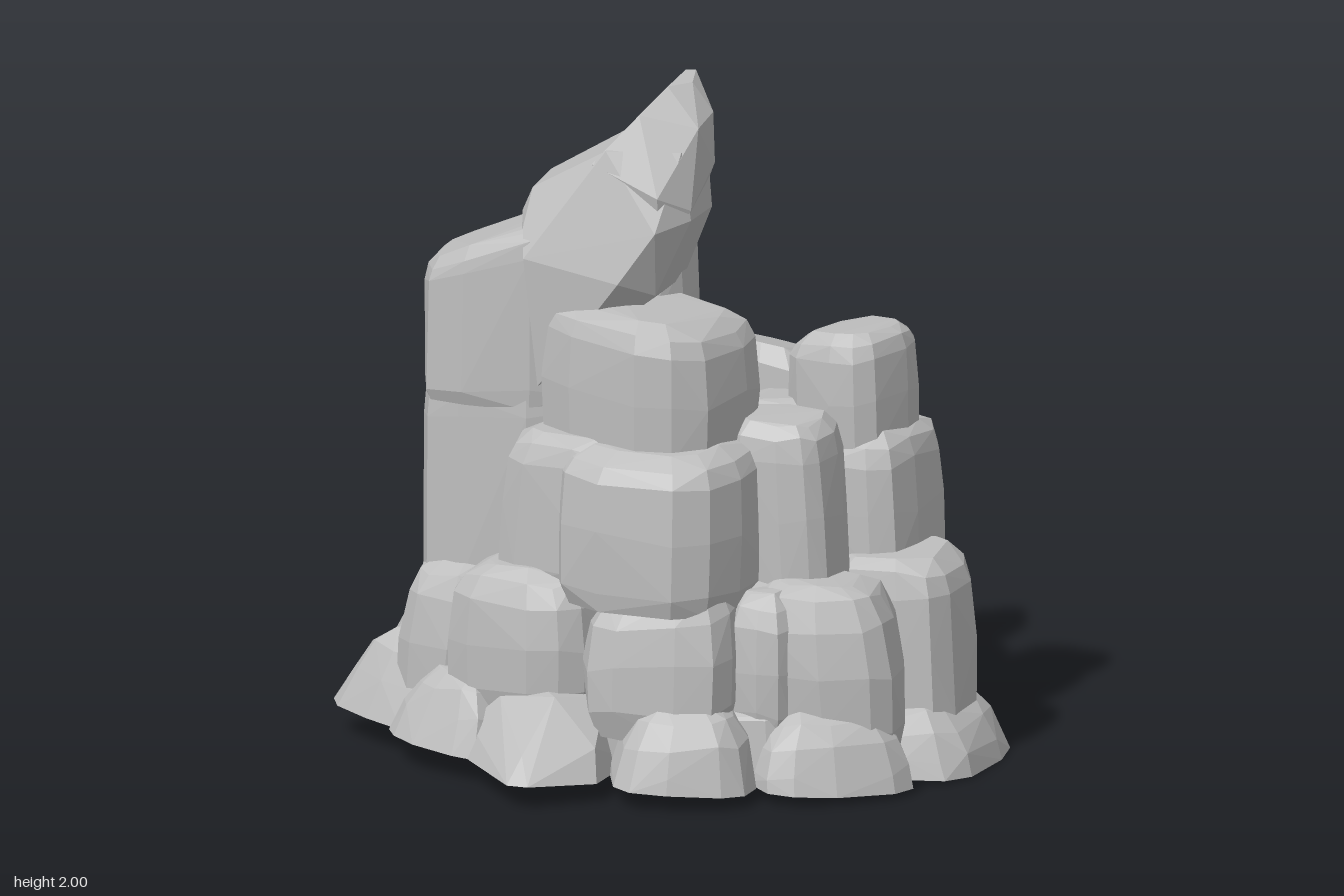
import * as THREE from 'three';
import { ConvexGeometry } from 'three/addons/geometries/ConvexGeometry.js';

const stone = new THREE.MeshStandardMaterial({ color: 0xbebebe });
stone.name = 'grey stone';

// Small seeded generator for the uneven facets
let seed = 11;
const random = () => {
  seed = (seed * 16807) % 2147483647;
  return seed / 2147483647;
};
const jitter = (amount) => (random() * 2 - 1) * amount;

// Ring profiles: [height fraction, width fraction]
const PROFILES = {
  slab: [[0, 0.96], [0.1, 1], [0.85, 0.99], [0.95, 0.95], [1, 0.86]],
  block: [[0, 0.94], [0.12, 1], [0.5, 1.01], [0.82, 0.98], [0.94, 0.9], [1, 0.7]],
  boulder: [[0, 0.86], [0.2, 0.98], [0.5, 1.01], [0.78, 0.94], [0.93, 0.78], [1, 0.52]],
  mound: [[0, 1.01], [0.3, 0.98], [0.62, 0.88], [0.87, 0.68], [1, 0.4]],
};

// The pile stands on a slightly sloping underside
const ground = (x, z) => Math.max(0, 0.042 - 0.042 * x + 0.022 * z);

// Faceted stone around a few [x, y, z] corners
function hull(group, name, corners) {
  const points = corners.map(([x, y, z]) => new THREE.Vector3(x, Math.max(y, ground(x, z)), z));
  const mesh = new THREE.Mesh(new ConvexGeometry(points), stone);
  mesh.name = name;
  group.add(mesh);
}

// One faceted rock filling the given ranges, turned by yaw degrees (+x towards +z);
// lean shifts its top, tilt slopes it
function rock(group, name, profile, [x0, x1], [y0, y1], [z0, z1], yaw = 0, lean = [0, 0], tilt = [0, 0]) {
  const sides = 12, corners = [], start = random();
  const c = Math.cos((yaw * Math.PI) / 180), s = Math.sin((yaw * Math.PI) / 180);
  const curve = (v) => Math.sign(v) * Math.abs(v) ** 0.64;
  const radii = Array.from({ length: sides }, () => 1 + jitter(0.035));
  for (const [t, w] of PROFILES[profile]) {
    for (let i = 0; i < sides; i++) {
      const a = ((i + start) / sides) * Math.PI * 2;
      const r = w * radii[i] * (1 + jitter(0.02));
      const u = curve(Math.cos(a)) * r, v = curve(Math.sin(a)) * r;
      const dx = (u * (x1 - x0)) / 2, dz = (v * (z1 - z0)) / 2;
      corners.push([
        (x0 + x1) / 2 + dx * c - dz * s + lean[0] * t,
        y0 + (y1 - y0) * t + (tilt[0] * u + tilt[1] * v) * t + (t > 0 ? jitter(0.012) : 0),
        (z0 + z1) / 2 + dx * s + dz * c + lean[1] * t]);
    }
  }
  hull(group, name, corners);
}

function makeTier(root, name) {
  const tier = new THREE.Group();
  tier.name = name;
  root.add(tier);
  return (...args) => rock(tier, ...args);
}

export function createModel() {
  seed = 11;
  const root = new THREE.Group();
  root.name = 'rockFormation';

  // Solid middle that the outer stones rest against
  const core = makeTier(root, 'core');
  core('baseCore', 'slab', [-0.74, 0.74], [0, 0.25], [-0.64, 0.54]);
  core('middleCore', 'block', [-0.54, 0.6], [0.1, 0.6], [-0.47, 0.44]);
  core('upperCore', 'block', [-0.25, 0.45], [0.4, 0.98], [-0.35, 0.3]);

  // Low stones around the foot
  const foot = makeTier(root, 'footStones');
  foot('frontFoot', 'mound', [0.02, 0.43], [0, 0.28], [0.36, 0.72], -18, [0, -0.02]);
  foot('frontLeftFoot', 'mound', [0.35, 0.82], [0, 0.25], [0.13, 0.5], -40, [-0.02, -0.02]);
  foot('leftFoot', 'mound', [0.5, 0.95], [0, 0.21], [-0.36, 0.19], 0, [-0.04, 0]);
  foot('leftBackFoot', 'mound', [0.42, 0.78], [0, 0.28], [-0.44, -0.1]);
  foot('frontRightFoot', 'mound', [-0.71, -0.3], [0, 0.28], [0.34, 0.6], 28, [0.02, -0.03]);
  foot('rightFrontFoot', 'mound', [-0.96, -0.5], [0, 0.32], [0.07, 0.4], 32, [0.04, -0.02]);
  foot('rightFoot', 'mound', [-0.96, -0.62], [0, 0.34], [-0.27, 0.07], -10, [0.05, 0]);
  foot('rightBackFoot', 'mound', [-0.84, -0.34], [0, 0.36], [-0.56, -0.2], -38, [0.04, 0.03]);
  foot('backFoot', 'mound', [-0.22, 0.13], [0, 0.18], [-0.86, -0.5]);

  // Pointed stone at the front
  const pointed = new THREE.Group();
  pointed.name = 'pointedFootStone';
  root.add(pointed);
  hull(pointed, 'frontFootPoint', [
    [-0.45, 0, 0.57], [-0.4, 0, 0.64], [-0.2, 0, 0.85], [-0.14, 0, 0.84], [0.02, 0, 0.7],
    [0.02, 0, 0.4], [-0.45, 0, 0.4], [-0.43, 0.16, 0.55], [-0.18, 0.14, 0.78], [0, 0.15, 0.66],
    [-0.33, 0.25, 0.56], [-0.14, 0.28, 0.62], [-0.03, 0.26, 0.5], [-0.3, 0.28, 0.42],
  ]);

  // Rounded stones of the second tier
  const lower = makeTier(root, 'lowerStones');
  lower('frontRightBoulder', 'boulder', [-0.54, -0.06], [0.18, 0.61], [0.22, 0.57], 12);
  lower('frontBoulder', 'boulder', [-0.1, 0.36], [0.17, 0.61], [0.2, 0.65], -10, [0, -0.03], [0.04, 0]);
  lower('frontLeftBoulder', 'boulder', [0.34, 0.79], [0.08, 0.6], [0.04, 0.41], -15, [-0.04, 0]);
  lower('leftBoulder', 'block', [0.45, 0.86], [0.08, 0.61], [-0.31, 0.08], 0, [-0.02, 0]);
  lower('leftGapStone', 'boulder', [0.3, 0.52], [0.15, 0.58], [0.18, 0.46]);
  lower('leftBackBoulder', 'boulder', [0.35, 0.72], [0.05, 0.64], [-0.54, -0.2], 20, [-0.05, 0.03]);
  lower('rightBoulder', 'boulder', [-0.75, -0.42], [0.1, 0.57], [0.05, 0.42], 20, [0.05, 0]);
  lower('rightBackBoulder', 'boulder', [-0.79, -0.45], [0.1, 0.55], [-0.23, 0.07], 0, [0.04, 0]);
  lower('backBoulder', 'block', [-0.48, 0.04], [0, 0.55], [-0.73, -0.34], -8, [0, 0.03], [0, 0.04]);
  lower('backMiddleBoulder', 'block', [0.02, 0.34], [0.05, 0.53], [-0.75, -0.42], 10, [0, 0.03]);
  lower('backLeftBoulder', 'boulder', [0.14, 0.7], [-0.05, 0.48], [-0.78, -0.44], 40, [-0.03, 0.04]);
  lower('backLeftWedge', 'boulder', [0.2, 0.5], [0.2, 0.6], [-0.64, -0.32], 30);

  // Upright blocks of the middle and the stepped tops
  const upper = makeTier(root, 'upperBlocks');
  upper('frontMiddleBlock', 'block', [-0.2, 0.37], [0.54, 1.0], [0.03, 0.61], 6, [0, -0.02]);
  upper('frontMiddleSideBlock', 'block', [-0.4, 0.0], [0.56, 1.0], [0.12, 0.5], 10, [0.04, 0]);
  upper('frontTopBlock', 'block', [-0.29, 0.3], [0.92, 1.36], [-0.01, 0.47], 20, [0, 0], [-0.02, 0.01]);
  upper('leftMiddleBlock', 'block', [0.33, 0.7], [0.5, 0.95], [-0.44, -0.01], 8, [-0.02, 0]);
  upper('leftTopBlock', 'block', [0.32, 0.63], [0.85, 1.23], [-0.39, -0.04], 18, [-0.01, 0], [0.02, 0]);
  upper('leftInnerStone', 'block', [0.26, 0.57], [0.5, 1.05], [0, 0.29], 0, [-0.03, 0]);
  upper('backRightBlock', 'block', [-0.5, -0.08], [0.3, 0.81], [-0.46, -0.1], 0, [0, 0.02], [0, 0.03]);
  upper('backLeaningBlock', 'block', [-0.1, 0.37], [0.35, 1.11], [-0.61, -0.26], 12, [0, 0.06], [-0.02, 0.05]);
  upper('innerBackStone', 'boulder', [0.08, 0.42], [0.6, 1.02], [-0.33, 0.02]);

  // Tall spire: stacked shaft, back pillar and pointed cap
  const spire = makeTier(root, 'spire');
  spire('lowerShaft', 'slab', [-0.71, -0.2], [0.42, 1.12], [-0.12, 0.34], 0, [0, 0], [0.04, 0]);
  spire('upperShaft', 'slab', [-0.71, -0.2], [1.04, 1.53], [-0.13, 0.35], 0, [0, 0], [0.1, 0]);
  spire('backPillar', 'slab', [-0.46, 0.05], [0.3, 1.5], [-0.16, 0.2], 0, [0, 0], [0.03, -0.03]);
  const cap = new THREE.Group();
  cap.name = 'spireCap';
  root.add(cap);
  hull(cap, 'capShoulder', [
    [-0.4, 1.61, 0], [-0.4, 1.6, 0.2], [-0.36, 1.58, 0.3], [-0.38, 1.68, 0.02], [-0.36, 1.68, 0.22],
    [-0.14, 1.82, -0.06], [-0.12, 1.82, 0.26], [0.02, 1.84, -0.1], [0.1, 1.82, 0.02], [0.09, 1.82, 0.2],
    [-0.02, 1.62, -0.15], [-0.3, 1.6, -0.12], [0.12, 1.62, 0.03], [0.12, 1.62, 0.2], [0.05, 1.6, 0.31],
    [-0.34, 1.5, 0.35], [-0.05, 1.45, 0.35], [0.03, 1.4, 0.02], [0.03, 1.4, 0.25],
    [-0.3, 1.12, 0], [-0.3, 1.12, 0.34], [-0.08, 1.35, -0.12],
  ]);
  hull(cap, 'capPeak', [
    [-0.18, 1.78, -0.04], [-0.16, 1.78, 0.27], [-0.04, 1.93, -0.07], [-0.04, 1.92, 0.2],
    [0, 1.99, -0.07], [0.01, 1.985, 0.1], [0.04, 2, -0.05], [0.06, 1.985, 0.03],
    [0.12, 1.9, 0.02], [0.12, 1.88, 0.14], [0.02, 1.75, -0.14], [0.125, 1.75, 0.02],
    [0.12, 1.65, 0.2], [0.05, 1.7, 0.29], [0.04, 1.5, 0.05], [0.04, 1.5, 0.25],
  ]);

  return root;
}
